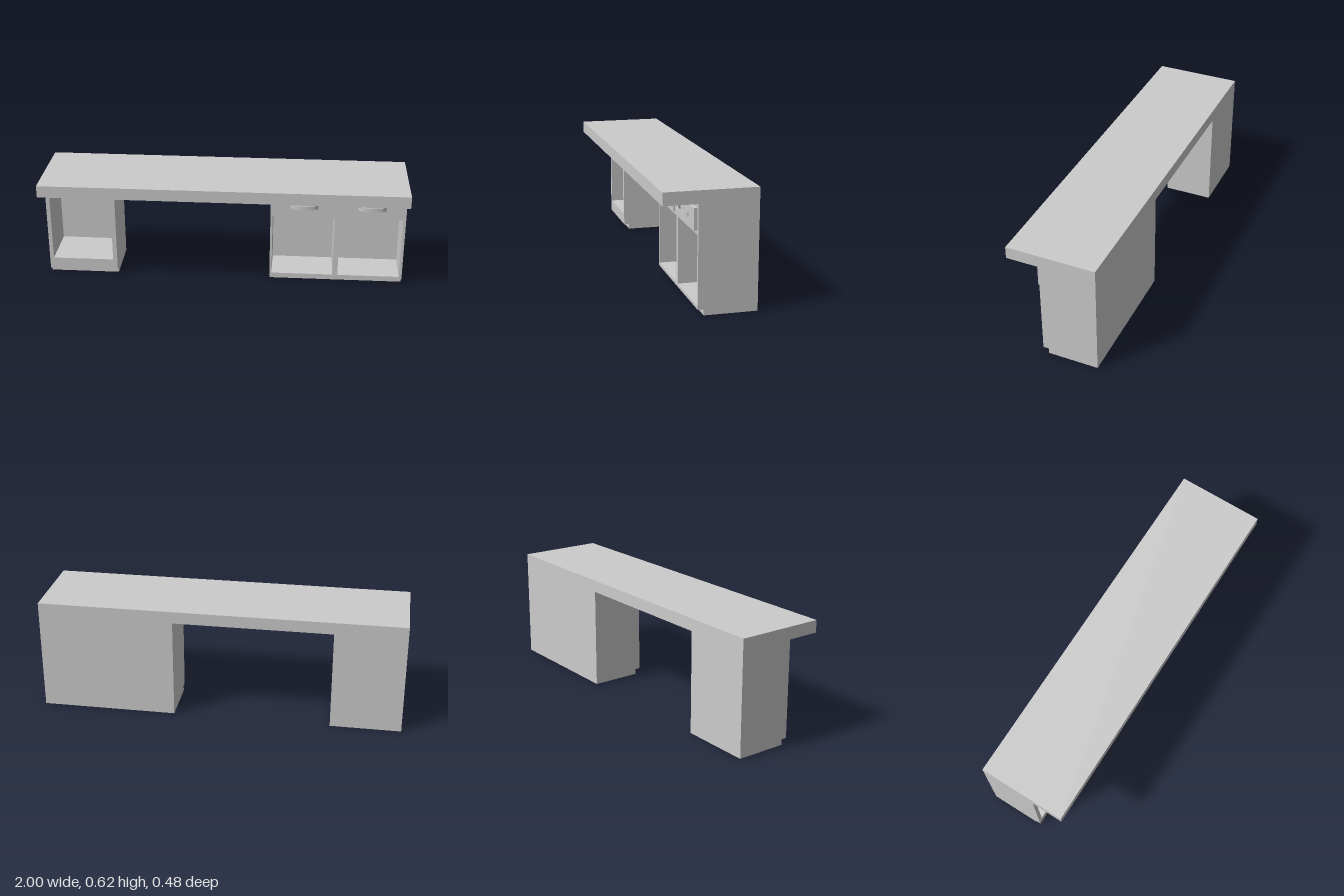
import * as THREE from 'three';

const material = new THREE.MeshStandardMaterial({ color: 0xcccccc });
const BACK = -0.24, FRONT = 0.064, TOE = 0.034, TOE_H = 0.03, UNDER = 0.554, TOP = 0.62;

function add(parent, name, geometry) {
  const mesh = new THREE.Mesh(geometry, material);
  mesh.name = name;
  parent.add(mesh);
  return mesh;
}

// Box given by its min and max on each axis
function box(parent, name, [x0, x1], [y0, y1], [z0, z1]) {
  const mesh = add(parent, name, new THREE.BoxGeometry(x1 - x0, y1 - y0, z1 - z0));
  mesh.position.set((x0 + x1) / 2, (y0 + y1) / 2, (z0 + z1) / 2);
  return mesh;
}

function trace(path, [x0, x1], [y0, y1]) {
  path.moveTo(x0, y0);
  path.lineTo(x1, y0);
  path.lineTo(x1, y1);
  path.lineTo(x0, y1);
  path.closePath();
  return path;
}

// Cabinet: recessed plinth, body with open compartments, closed back
function cabinet(name, xs, openings, innerBack) {
  const group = new THREE.Group();
  group.name = name;
  box(group, 'plinth', xs, [0, TOE_H], [BACK, TOE]);
  box(group, 'backPanel', xs, [TOE_H, UNDER], [BACK, innerBack]);
  const shape = trace(new THREE.Shape(), xs, [TOE_H, UNDER]);
  for (const [ox, oy] of openings) shape.holes.push(trace(new THREE.Path(), ox, oy));
  const body = add(group, 'body', new THREE.ExtrudeGeometry(shape, { depth: FRONT - innerBack, bevelEnabled: false }));
  body.position.z = innerBack;
  return group;
}

// Bowed pull handle: a curved strip standing off the drawer front
function handle(parent, cx, cy, z) {
  const w = 0.076, d = 0.03, t = 0.006, h = 0.024;
  const shape = new THREE.Shape();
  shape.moveTo(w, 0);
  shape.absellipse(0, 0, w, d, 0, Math.PI, false);
  shape.lineTo(-w + t, 0);
  shape.absellipse(0, 0, w - t, d - t, Math.PI, 0, true);
  shape.closePath();
  const geometry = new THREE.ExtrudeGeometry(shape, { depth: h, bevelEnabled: false, curveSegments: 16 });
  geometry.rotateX(Math.PI / 2);
  const mesh = add(parent, 'drawerHandle', geometry);
  mesh.position.set(cx, cy + h / 2, z);
}

export function createModel() {
  const desk = new THREE.Group();
  desk.name = 'desk';

  box(desk, 'worktop', [-1, 1], [UNDER, TOP], [BACK, 0.24]);

  // Narrow cabinet with one tall compartment
  desk.add(cabinet('narrowCabinet', [-1, -0.612], [[[-0.978, -0.636], [0.095, 0.53]]], -0.205));

  // Wide cabinet with two compartments below two drawers
  const wide = cabinet('wideCabinet', [0.256, 1],
    [[[0.268, 0.611], [0.047, 0.4]], [[0.64, 0.984], [0.047, 0.4]]], -0.145);
  for (const [x0, x1] of [[0.272, 0.611], [0.642, 0.98]]) {
    box(wide, 'drawerFront', [x0, x1], [0.42, 0.53], [FRONT, 0.081]);
    handle(wide, (x0 + x1) / 2, 0.476, 0.081);
  }
  desk.add(wide);
  return desk;
}
